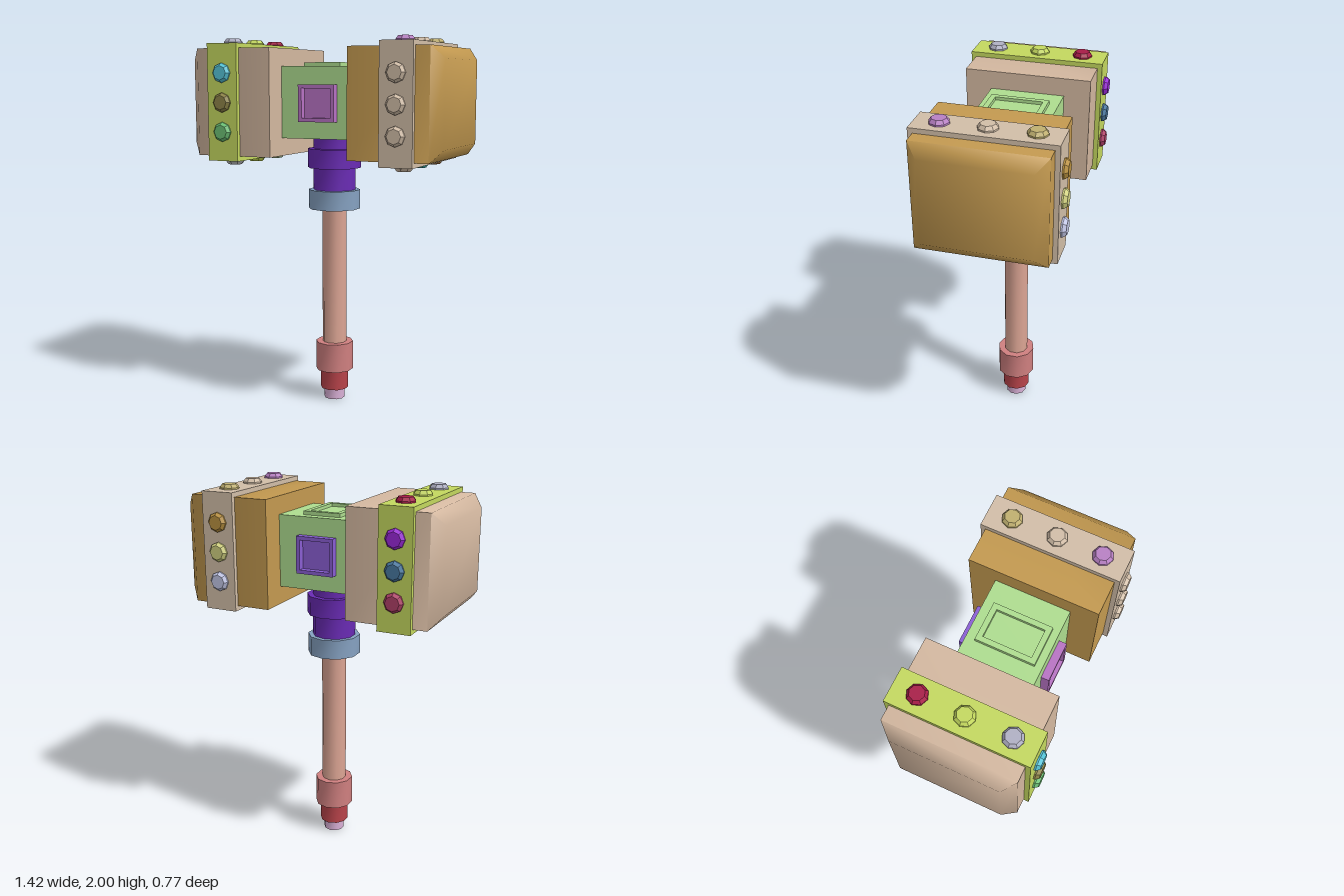
import * as THREE from 'three';
import { toCreasedNormals } from 'three/addons/utils/BufferGeometryUtils.js';

function add(parent, name, geometry, color) {
  const mesh = new THREE.Mesh(geometry, new THREE.MeshStandardMaterial({ color }));
  mesh.name = name;
  parent.add(mesh);
  return mesh;
}

// Block spanning x 0.22..0.71 whose outer end is bevelled
function hammerBlock(side) {
  const g = new THREE.BoxGeometry(2, 0.57, 0.665, 2, 1, 1);
  const p = g.attributes.position;
  for (let i = 0; i < p.count; i++) {
    const s = p.getX(i) * side; // -1 inner, 0 bevel start, 1 outer
    p.setX(i, side * (s < -0.5 ? 0.22 : s < 0.5 ? 0.655 : 0.712));
    if (s > 0.5) {
      p.setY(i, p.getY(i) - Math.sign(p.getY(i)) * 0.063);
      p.setZ(i, p.getZ(i) - Math.sign(p.getZ(i)) * 0.06);
    }
  }
  return toCreasedNormals(g, 1.15).translate(0, 1.665, 0);
}

// Square frame with an open middle, rising along +z
function frame(w, h, border, depth) {
  const rect = (Type, a, b) => new Type([
    new THREE.Vector2(-a, -b), new THREE.Vector2(a, -b),
    new THREE.Vector2(a, b), new THREE.Vector2(-a, b),
  ]);
  const shape = rect(THREE.Shape, w / 2, h / 2);
  shape.holes.push(rect(THREE.Path, w / 2 - border, h / 2 - border));
  return new THREE.ExtrudeGeometry(shape, { depth, bevelEnabled: false });
}

// Eight-sided stud with a chamfered cap, rising along +y
function stud() {
  const profile = [[0.052, -0.01], [0.052, 0.008], [0.038, 0.026], [0, 0.026]]
    .map(([r, y]) => new THREE.Vector2(r, y));
  return toCreasedNormals(new THREE.LatheGeometry(profile, 8), 0.4);
}

export function createModel() {
  const model = new THREE.Group();
  model.name = 'warHammer';

  // Handle: stacked sections from the pommel up to the head
  [
    ['pommelTip', 0.057, 0, 0.06, 0xd9b0d6],
    ['pommelNeck', 0.078, 0.06, 0.17, 0xb8434a],
    ['pommelRing', 0.104, 0.17, 0.33, 0xd08080],
    ['shaft', 0.067, 0.33, 1.085, 0xdca594],
    ['lowerCollar', 0.142, 1.085, 1.19, 0x86a2c2],
    ['neck', 0.116, 1.19, 1.31, 0x6a2bb5],
    ['upperCollar', 0.146, 1.31, 1.415, 0x6a2bb5],
    ['neckTop', 0.116, 1.415, 1.48, 0x6a2bb5],
  ].forEach(([name, r, y0, y1, color]) => {
    const g = toCreasedNormals(new THREE.CylinderGeometry(r, r, y1 - y0, 10), 0.8);
    add(model, name, g, color).position.y = (y0 + y1) / 2;
  });

  // Centre block
  const head = new THREE.Group();
  head.name = 'head';
  model.add(head);
  add(head, 'centreBlock', new THREE.BoxGeometry(0.44, 0.38, 0.39), 0xaedd8f).position.y = 1.665;

  // Raised frames with a sunken panel
  [
    ['frontFrame', 0.207, 0.195, 0.02, 0.04, 0xb873c4, [0, 1.663, 0.195], [0, 0, 0]],
    ['backFrame', 0.207, 0.195, 0.02, 0.04, 0x8a5fd4, [0, 1.663, -0.195], [0, Math.PI, 0]],
    ['topFrame', 0.207, 0.305, 0.028, 0.02, 0xaedd8f, [0, 1.855, 0.006], [-Math.PI / 2, 0, 0]],
  ].forEach(([name, w, h, border, depth, color, pos, rot]) => {
    const group = new THREE.Group();
    group.name = name;
    group.position.set(...pos);
    group.rotation.set(...rot);
    add(group, 'frameRim', frame(w, h, border, depth), color);
    const panel = new THREE.BoxGeometry(w - 2 * border, h - 2 * border, 0.006);
    add(group, 'framePanel', panel, color);
    head.add(group);
  });

  // Striking ends, each with a studded band; stud colours run top to bottom or back to front
  const ends = [
    {
      name: 'rightEnd', side: 1, block: 0xc49a50, band: 0xd2bea8,
      front: [0xd2bea8, 0xd2bea8, 0xd2bea8],
      back: [0xb8903f, 0xd0d080, 0xc0c4e4],
      top: [0xc0b070, 0xd2bea8, 0xb880c4],
      bottom: [0x9a6a38, 0x3aa8a4, 0xd2bea8],
    },
    {
      name: 'leftEnd', side: -1, block: 0xd4b8a0, band: 0xc4d85f,
      front: [0x56c4d8, 0x8e8448, 0x6cc074],
      back: [0x9a28d8, 0x4878a0, 0xb04068],
      top: [0xa81c48, 0xc4d85f, 0xb0b0c4],
      bottom: [0xa8c090, 0xc4d850, 0xb8b8b8],
    },
  ];
  for (const e of ends) {
    const group = new THREE.Group();
    group.name = e.name;
    head.add(group);
    add(group, 'strikingBlock', hammerBlock(e.side), e.block);
    const x = e.side * 0.49;
    add(group, 'band', new THREE.BoxGeometry(0.178, 0.62, 0.715), e.band).position.set(x, 1.665, 0);

    for (let i = 0; i < 3; i++) {
      const y = 1.82 - i * 0.155, z = (i - 1) * 0.233;
      const place = (name, color, py, pz, rx) => {
        const m = add(group, name, stud(), color);
        m.position.set(x, py, pz);
        m.rotation.x = rx;
      };
      place('frontStud', e.front[i], y, 0.3575, Math.PI / 2);
      place('backStud', e.back[i], y, -0.3575, -Math.PI / 2);
      place('topStud', e.top[i], 1.975, z, 0);
      place('bottomStud', e.bottom[i], 1.355, z, Math.PI);
    }
  }
  return model;
}
